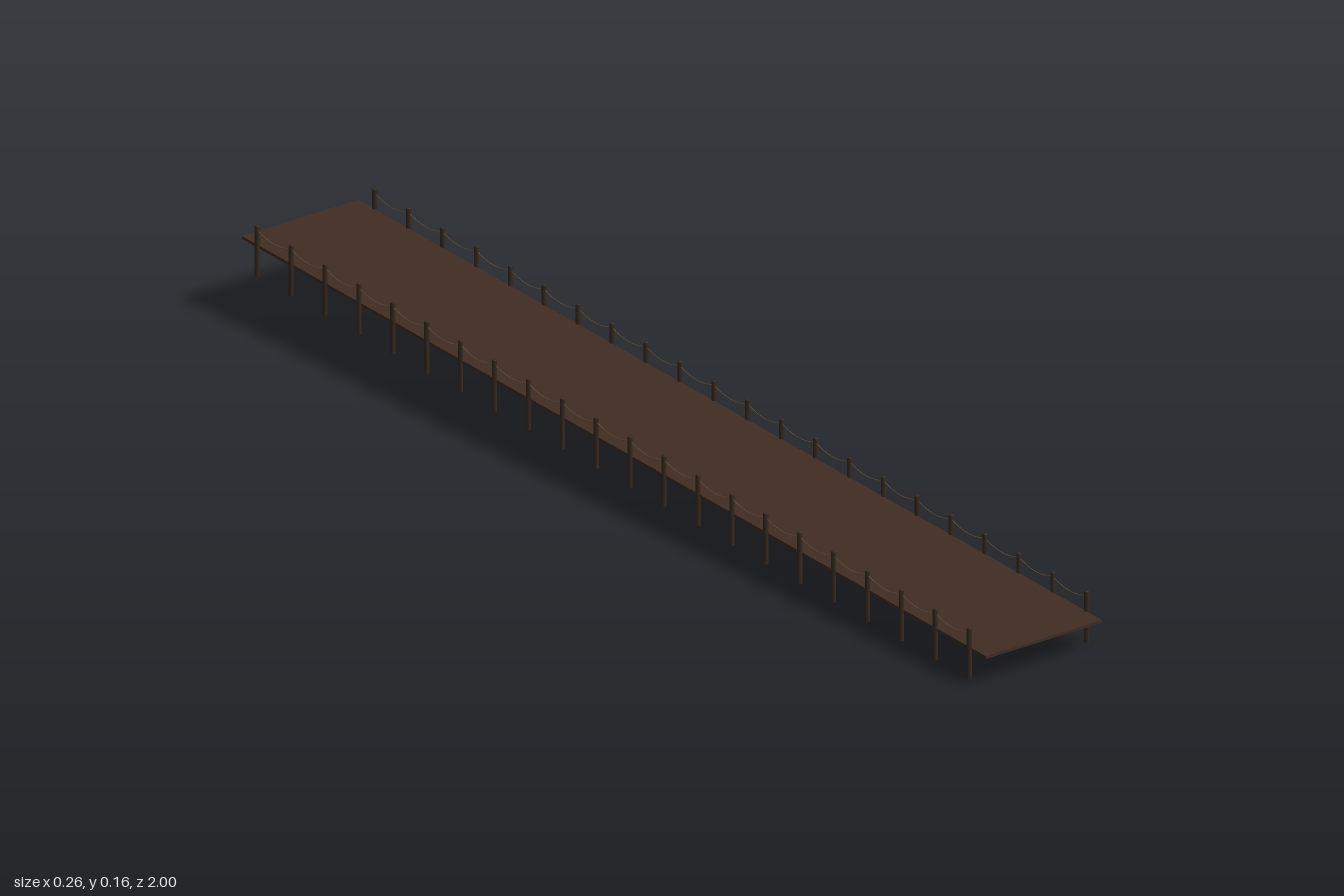
import * as THREE from 'three';

const SLOPE = 0.0362;       // rise per unit towards the back
const POSTS = 22;           // posts on each side
const Z_FIRST = 0.957;
const STEP = (2 * Z_FIRST) / (POSTS - 1);
const POST_H = 0.0925;
const POST_X = 0.1235;
const rise = (z) => (Z_FIRST - z) * SLOPE;

const deckWood = new THREE.MeshStandardMaterial({ color: 0x402c22 });
deckWood.name = 'deckWood';
const postWood = new THREE.MeshStandardMaterial({ color: 0x36291f });
postWood.name = 'postWood';
const ropeFibre = new THREE.MeshStandardMaterial({ color: 0x6b5436 });
ropeFibre.name = 'ropeFibre';

function add(parent, name, geometry, material) {
  const mesh = new THREE.Mesh(geometry, material);
  mesh.name = name;
  parent.add(mesh);
  return mesh;
}

// Box running the whole length, sheared so that it climbs while its ends stay upright
function slopedBox(width, height, top) {
  const g = new THREE.BoxGeometry(width, height, 2);
  const p = g.attributes.position;
  for (let i = 0; i < p.count; i++) {
    p.setY(i, p.getY(i) + top - height / 2 + rise(p.getZ(i)));
  }
  g.computeVertexNormals();
  return g;
}

export function createModel() {
  const model = new THREE.Group();
  model.name = 'slopingWalkway';

  add(model, 'deck', slopedBox(0.244, 0.005, 0.0565), deckWood);

  // Round post with a slightly domed top
  const r = 0.0043;
  const postShape = new THREE.LatheGeometry([
    new THREE.Vector2(0, 0), new THREE.Vector2(r, 0), new THREE.Vector2(r, 0),
    new THREE.Vector2(r, POST_H - 0.002), new THREE.Vector2(r * 0.65, POST_H - 0.0005),
    new THREE.Vector2(0, POST_H),
  ], 8);

  for (const side of [1, -1]) {
    const railing = new THREE.Group();
    railing.name = side > 0 ? 'leftRailing' : 'rightRailing';
    model.add(railing);

    for (let i = 0; i < POSTS; i++) {
      const z = Z_FIRST - i * STEP;
      add(railing, 'post', postShape, postWood).position.set(side * POST_X, rise(z), z);

      // Rope hanging between this post and the next
      if (i < POSTS - 1) {
        const z2 = z - STEP, zm = z - STEP / 2, x = side * POST_X;
        const curve = new THREE.QuadraticBezierCurve3(
          new THREE.Vector3(x, rise(z) + 0.084, z),
          new THREE.Vector3(x, rise(zm) + 0.066, zm),
          new THREE.Vector3(x, rise(z2) + 0.084, z2),
        );
        add(railing, 'rope', new THREE.TubeGeometry(curve, 8, 0.0008, 5), ropeFibre);
      }
    }
  }
  return model;
}
